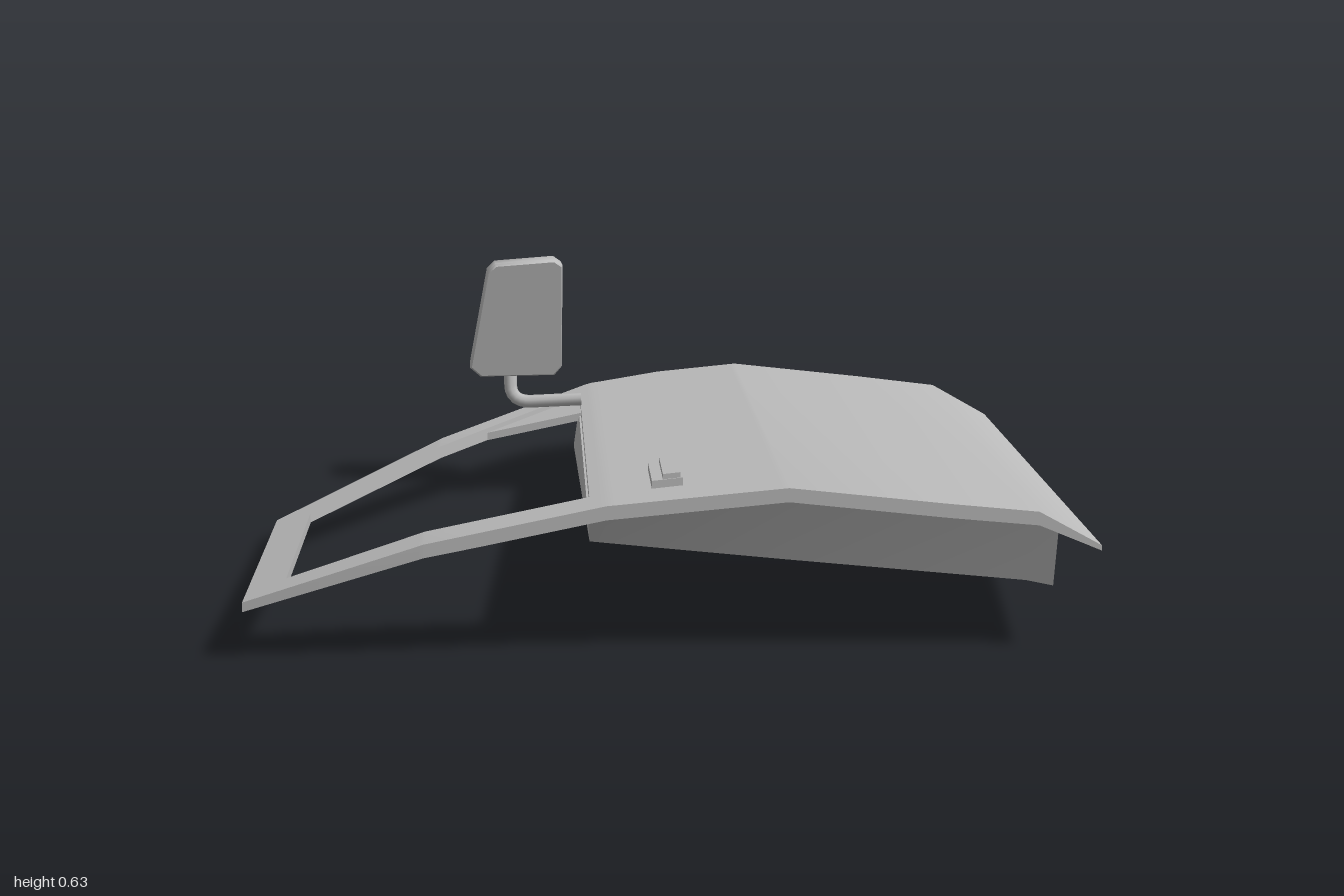
import * as THREE from 'three';
import { toCreasedNormals } from 'three/addons/utils/BufferGeometryUtils.js';

const grey = new THREE.MeshStandardMaterial({ color: 0xbcbcbc });
grey.name = 'primer grey';

// Piecewise linear function through [u, value] points
const curve = (pts) => (u) => {
  let i = 1;
  while (i < pts.length - 1 && u > pts[i][0]) i++;
  const [a, p] = pts[i - 1], [b, q] = pts[i];
  return p + (q - p) * THREE.MathUtils.clamp((u - a) / (b - a), 0, 1);
};

// Door skin: u runs across the door, sheared along z; the whole skin tilts in z
const crown = curve([[-0.949, 0.04], [-0.547, 0.173], [-0.145, 0.254], [0.256, 0.289],
  [0.608, 0.248], [0.808, 0.227], [0.949, 0.148]]);
const onSkin = (u, z, drop = 0) => [u - 0.061 * z, crown(u) + 0.08 * z - drop, z];

// Closed solid through rings of equal point count
function loft(rings, crease = 0.6) {
  const pos = [], n = rings[0].length;
  const tri = (...p) => p.forEach((q) => pos.push(...q));
  const middle = (r) => [0, 1, 2].map((k) => r.reduce((s, p) => s + p[k], 0) / n);
  const first = rings[0], last = rings[rings.length - 1];
  for (let j = 0; j < n; j++) {
    const k = (j + 1) % n;
    for (let i = 0; i + 1 < rings.length; i++) {
      const a = rings[i], b = rings[i + 1];
      tri(a[j], a[k], b[k]);
      tri(a[j], b[k], b[j]);
    }
    tri(middle(first), first[k], first[j]);
    tri(middle(last), last[j], last[k]);
  }
  const geo = new THREE.BufferGeometry();
  geo.setAttribute('position', new THREE.Float32BufferAttribute(pos, 3));
  return toCreasedNormals(geo, crease);
}

// Curved plate between two edges, following the skin
function plate(us, back, front, thickness, drop = 0) {
  return loft(us.map((u) => {
    const low = drop + thickness(u);
    return [onSkin(u, front(u), drop), onSkin(u, front(u), low),
      onSkin(u, back(u), low), onSkin(u, back(u), drop)];
  }));
}

export function createModel() {
  const door = new THREE.Group();
  door.name = 'door';
  const add = (name, geo) => {
    const mesh = new THREE.Mesh(geo, grey);
    mesh.name = name;
    door.add(mesh);
    return mesh;
  };

  // Outer edges and window edges
  const back = curve([[-0.949, -0.118], [-0.161, -0.893], [-0.125, -0.904], [0.041, -0.973],
    [0.241, -0.968], [0.603, -0.94], [0.806, -0.888], [0.949, -0.84]]);
  const front = curve([[-0.949, 0.813], [-0.557, 0.87], [0.949, 0.963]]);
  const windowBack = curve([[-0.86, -0.053], [-0.427, -0.513], [-0.18, -0.765]]);
  const windowFront = curve([[-0.86, 0.706], [-0.18, 0.745]]);
  const thickness = curve([[-0.949, 0.022], [-0.5, 0.032], [0.8, 0.032], [0.949, 0.012]]);

  // Skin and window frame
  add('doorSkin', plate([-0.18, -0.161, -0.145, -0.125, 0.041, 0.241, 0.256, 0.603, 0.608, 0.806,
    0.808, 0.949], back, front, thickness));
  add('windowFrameEnd', plate([-0.949, -0.86], back, front, thickness));
  const railStations = [-0.86, -0.557, -0.547, -0.427, -0.18];
  add('windowFrameBack', plate(railStations, back, windowBack, thickness));
  add('windowFrameFront', plate(railStations, windowFront, front, thickness));

  // Recessed corner panel that carries the mirror
  add('mirrorPanel', plate([-0.427, -0.18], windowBack,
    curve([[-0.427, -0.51], [-0.18, -0.5]]), () => 0.02, 0.012));

  // Inner trim box: [top u, top z, bottom u, bottom z]
  const trim = [[0.862, 0.9, 0.862, 0.85], [0.808, 0.9, 0.8, 0.848], [0.256, 0.87, 0.256, 0.8],
    [-0.145, 0.84, -0.145, 0.755], [-0.185, 0.83, -0.18, 0.75], [-0.185, -0.6, -0.2, -0.5],
    [-0.1, -0.68, -0.1, -0.57], [0.256, -0.89, 0.256, -0.78], [0.608, -0.88, 0.608, -0.775],
    [0.808, -0.84, 0.8, -0.765], [0.862, -0.82, 0.856, -0.76]];
  add('innerTrim', loft([
    trim.map(([u, z]) => onSkin(u, z, 0.02)),
    trim.map(([, , u, z]) => [u - 0.061 * z, 0.145 - 0.1 * (u + 0.18) + 0.08 * z + 0.02 * (u > 0.84 ? -0.4 : 0), z]),
  ], 0.4));

  // Pull handle: a low base with a raised bar
  const handle = (u0, u1, z0, z1, rise) => loft([u0, u1].map((u) => [
    onSkin(u, z1, -rise), onSkin(u, z1, 0.01), onSkin(u, z0, 0.01), onSkin(u, z0, -rise)]));
  add('handleBase', handle(-0.04, 0.03, 0.525, 0.75, 0.018));
  add('handleBar', handle(-0.015, 0.025, 0.53, 0.745, 0.03));

  // Mirror: flat slanted face, domed shell behind
  const outline = [[-0.39, 0.575], [-0.37, 0.595], [-0.215, 0.605], [-0.195, 0.59],
    [-0.195, 0.31], [-0.215, 0.285], [-0.41, 0.285], [-0.437, 0.31]];
  const shell = [[0, 0.97], [0.01, 1], [0.07, 0.99], [0.105, 0.82], [0.125, 0.5]];
  add('mirrorHead', loft(shell.map(([depth, s]) => outline.map(([px, py]) => {
    const x = -0.3 + (px + 0.3) * s, y = 0.42 + (py - 0.42) * s;
    return [x, y, -0.5 - 0.16 * (0.6 - py) - depth];
  })), 0.9));

  // Bent mirror stem
  const path = new THREE.CurvePath();
  const v = (x, y, z) => new THREE.Vector3(x, y, z);
  path.add(new THREE.LineCurve3(v(-0.33, 0.31, -0.59), v(-0.33, 0.25, -0.575)));
  path.add(new THREE.QuadraticBezierCurve3(v(-0.33, 0.25, -0.575), v(-0.325, 0.215, -0.565), v(-0.28, 0.215, -0.56)));
  path.add(new THREE.LineCurve3(v(-0.28, 0.215, -0.56), v(-0.145, 0.222, -0.545)));
  add('mirrorStem', new THREE.TubeGeometry(path, 20, 0.017, 8));

  return door;
}
